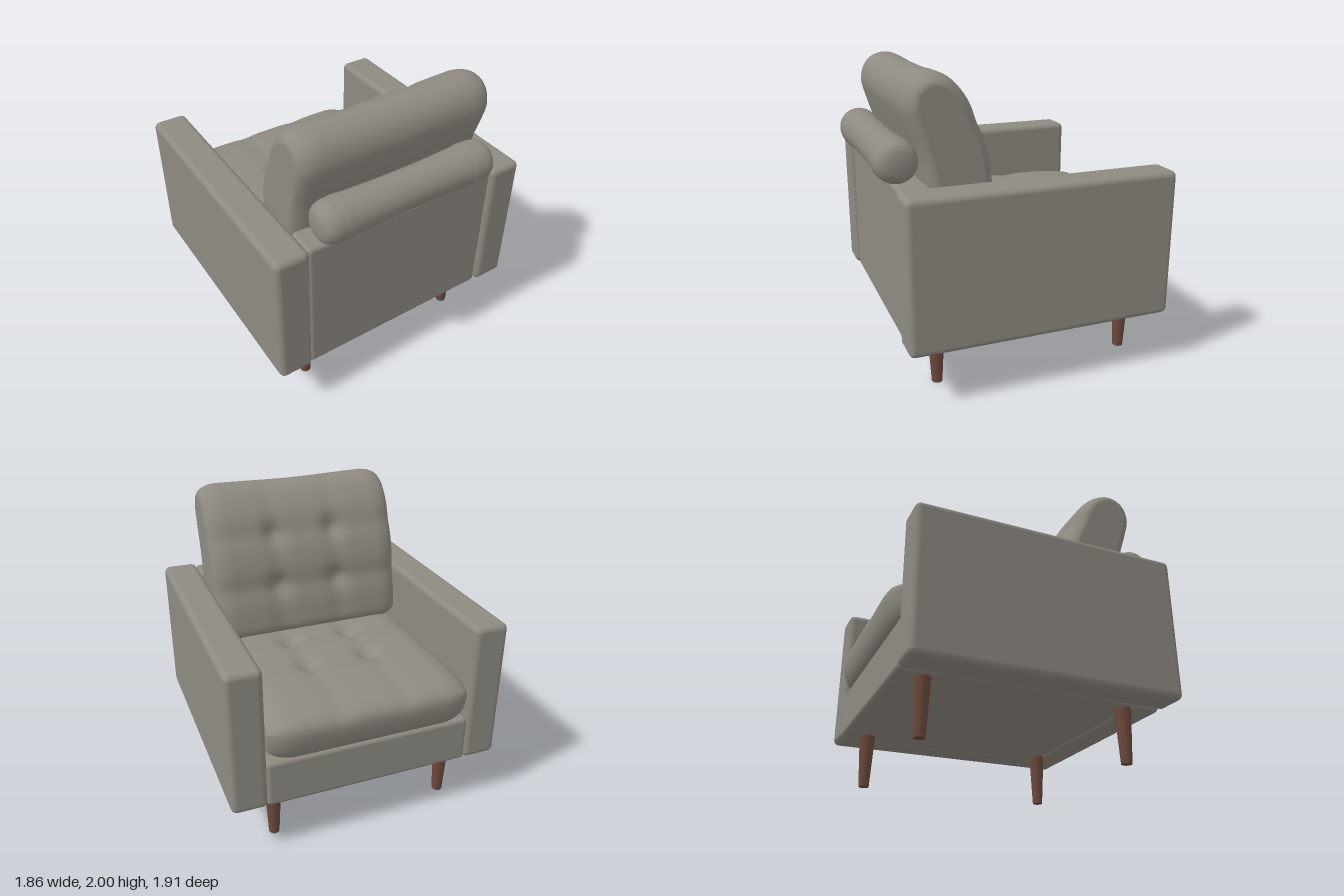
import * as THREE from 'three';
import { RoundedBoxGeometry } from 'three/addons/geometries/RoundedBoxGeometry.js';

const fabric = new THREE.MeshStandardMaterial({ color: 0x8e8a82 });
fabric.name = 'greyFabric';
const wood = new THREE.MeshStandardMaterial({ color: 0x6b493d });
wood.name = 'brownWood';

function add(group, name, geometry, material, x = 0, y = 0, z = 0) {
  const mesh = new THREE.Mesh(geometry, material);
  mesh.name = name;
  mesh.position.set(x, y, z);
  group.add(mesh);
  return mesh;
}

// Rounded block given by its two extreme corners
function block(group, name, [x0, y0, z0], [x1, y1, z1], radius) {
  const geometry = new RoundedBoxGeometry(x1 - x0, y1 - y0, z1 - z0, 5, radius);
  return add(group, name, geometry, fabric, (x0 + x1) / 2, (y0 + y1) / 2, (z0 + z1) / 2);
}

// Cushion lofted across x from a closed side profile of [z, y] points.
// The ends are rounded by an inset; dent(x, y, z, ny, nz) gives the tuft depth.
function cushion(profile, halfWidth, endLength, endInset, dent) {
  const curve = new THREE.CatmullRomCurve3(
    profile.map(([z, y]) => new THREE.Vector3(0, y, z)), true, 'centripetal');
  const rows = 64, sides = 96, positions = [], index = [];
  for (let i = 0; i <= rows; i++) {
    const x = halfWidth * Math.sin((i / rows - 0.5) * Math.PI);
    const t = Math.max(0, (Math.abs(x) - halfWidth + endLength) / endLength);
    const inset = endInset * (1 - Math.sqrt(Math.max(0, 1 - t * t)));
    for (let j = 0; j < sides; j++) {
      const p = curve.getPointAt(j / sides), tan = curve.getTangentAt(j / sides);
      const ny = -tan.z, nz = tan.y;
      const d = inset + dent(x, p.y, p.z, ny, nz);
      positions.push(x, p.y - ny * d, p.z - nz * d);
    }
  }
  for (let i = 0; i < rows; i++) {
    for (let j = 0; j < sides; j++) {
      const k = (j + 1) % sides;
      const a = i * sides + j, b = a + sides, c = i * sides + k, d = c + sides;
      index.push(a, b, c, b, d, c);
    }
  }
  // End caps
  for (const row of [0, rows]) {
    let y = 0, z = 0;
    for (let j = 0; j < sides; j++) {
      y += positions[(row * sides + j) * 3 + 1] / sides;
      z += positions[(row * sides + j) * 3 + 2] / sides;
    }
    const centre = positions.length / 3;
    positions.push(row ? halfWidth : -halfWidth, y, z);
    for (let j = 0; j < sides; j++) {
      const a = row * sides + j, b = row * sides + (j + 1) % sides;
      if (row) index.push(centre, b, a);
      else index.push(centre, a, b);
    }
  }
  const geometry = new THREE.BufferGeometry();
  geometry.setAttribute('position', new THREE.Float32BufferAttribute(positions, 3));
  geometry.setIndex(index);
  geometry.computeVertexNormals();
  return geometry;
}

// Two by two button tufts joined by soft creases
const bell = (d, width) => Math.exp(-(d * d) / (width * width));
function tufts(x, v, lines) {
  const across = bell(Math.abs(x) - 0.22, 0.07);
  const along = lines.reduce((sum, line) => sum + bell(v - line, 0.07), 0);
  return 0.04 * across * along + 0.012 * (across + along);
}

export function createModel() {
  const model = new THREE.Group();
  model.name = 'armchair';

  // Frame
  for (const [side, s] of [['left', 1], ['right', -1]]) {
    block(model, side + 'Arm', [s > 0 ? 0.695 : -0.93, 0.355, -0.905],
      [s > 0 ? 0.93 : -0.695, 1.34, 0.87], 0.04);
  }
  block(model, 'backPanel', [-0.7, 0.345, 0.64], [0.7, 1.33, 0.845], 0.03);
  block(model, 'seatBase', [-0.7, 0.36, -0.78], [0.7, 0.68, 0.66], 0.01);
  block(model, 'frontRail', [-0.7, 0.355, -0.9], [0.7, 0.68, -0.76], 0.03);

  // Seat cushion
  const seat = [[0.5, 0.97], [0.2, 0.99], [-0.3, 1.0], [-0.7, 0.99], [-0.88, 0.96], [-0.945, 0.91],
    [-0.95, 0.83], [-0.925, 0.73], [-0.88, 0.68], [-0.6, 0.67], [0.2, 0.67], [0.5, 0.68], [0.6, 0.8]];
  add(model, 'seatCushion', cushion(seat, 0.69, 0.2, 0.1,
    (x, y, z, ny) => Math.max(0, ny) * tufts(x, z, [-0.34, 0.02])), fabric);

  // Leaning back cushion
  const back = [[0.6, 2.0], [0.5, 1.965], [0.4, 1.86], [0.31, 1.68], [0.25, 1.5], [0.215, 1.32],
    [0.18, 1.12], [0.18, 1.0], [0.26, 0.95], [0.5, 0.95], [0.6, 1.0], [0.64, 1.15],
    [0.67, 1.34], [0.705, 1.52], [0.755, 1.68], [0.785, 1.81], [0.755, 1.92], [0.69, 1.98]];
  add(model, 'backCushion', cushion(back, 0.69, 0.15, 0.08, (x, y, z, ny, nz) =>
    Math.max(0, -nz) * tufts(x, y, [1.33, 1.69]) + 0.014 * Math.max(0, ny) * bell(x, 0.4)), fabric);

  // Bolster roll with two bands behind the back cushion
  const bolster = new THREE.Group();
  bolster.name = 'bolster';
  bolster.position.set(0, 1.47, 0.82);
  bolster.rotation.z = -Math.PI / 2;
  const half = [[0.126, 0], [0.128, 0.2], [0.135, 0.42], [0.138, 0.52], [0.132, 0.57],
    [0.115, 0.605], [0.085, 0.628], [0.04, 0.638], [0, 0.64]];
  const outline = new THREE.SplineCurve([...half.slice(1).reverse().map(([r, y]) => [r, -y]), ...half]
    .map(([r, y]) => new THREE.Vector2(r, y))).getPoints(64)
    .map((p) => p.set(Math.max(0, p.x), p.y));
  add(bolster, 'bolsterRoll', new THREE.LatheGeometry(outline, 48), fabric);
  for (const s of [-1, 1]) {
    const band = [[0.132, -0.032], [0.14, -0.03], [0.14, 0.03], [0.132, 0.032]]
      .map(([r, y]) => new THREE.Vector2(r, y));
    add(bolster, 'bolsterBand', new THREE.LatheGeometry(band, 48), fabric, 0, s * 0.475, 0);
  }
  model.add(bolster);

  // Tapered legs
  for (const x of [-0.615, 0.615]) {
    for (const z of [-0.725, 0.62]) {
      add(model, 'leg', new THREE.CylinderGeometry(0.055, 0.035, 0.37, 24), wood, x, 0.185, z);
    }
  }
  return model;
}
